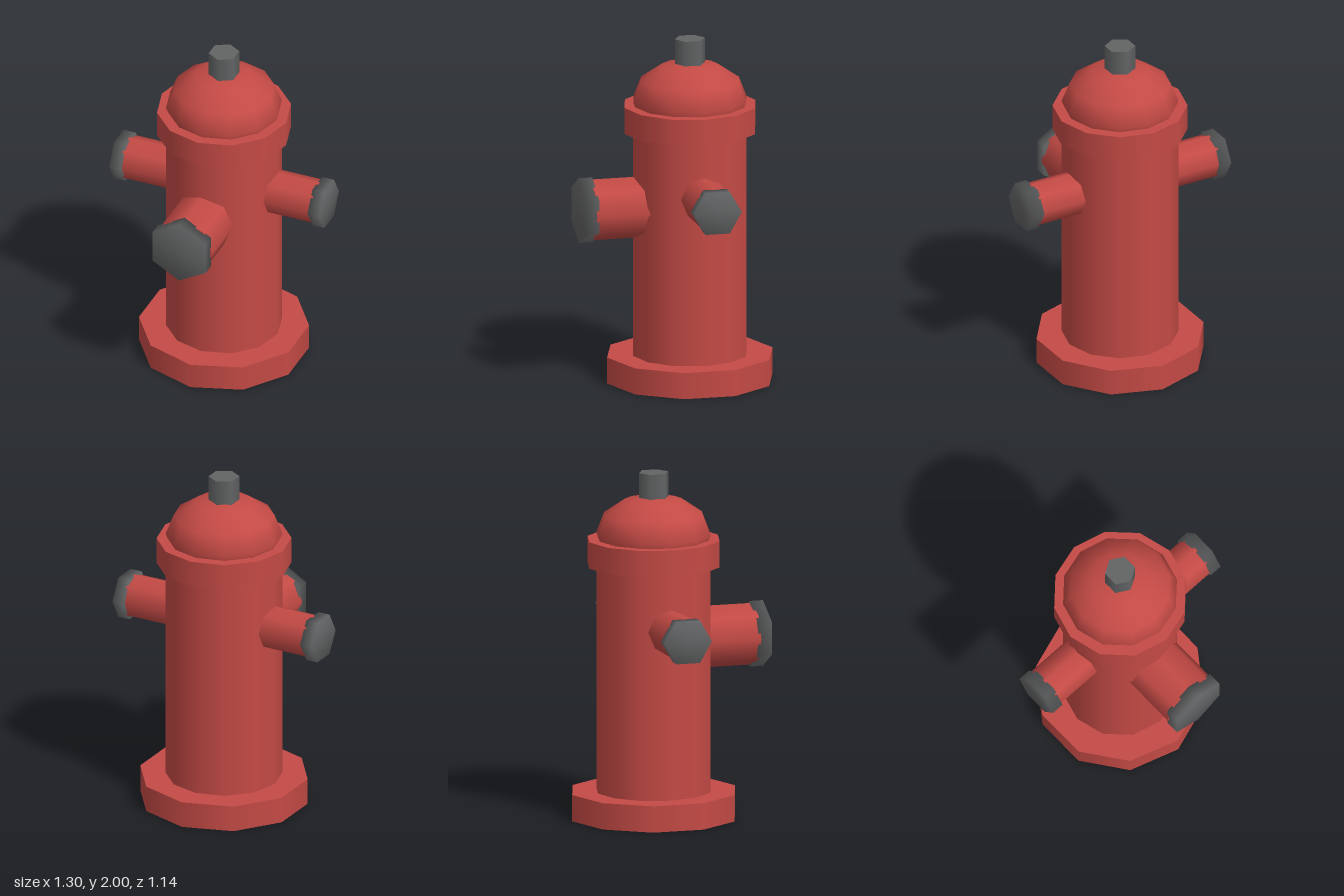
import * as THREE from 'three';

const AXIS_Z = -0.083; // centre line of the barrel

export function createModel() {
  const red = new THREE.MeshStandardMaterial({ color: 0xc44a45, side: THREE.DoubleSide });
  red.name = 'red paint';
  const grey = new THREE.MeshStandardMaterial({ color: 0x626364 });
  grey.name = 'dark iron';

  const model = new THREE.Group();
  model.name = 'hydrant';

  const add = (parent, name, geometry, material) => {
    const mesh = new THREE.Mesh(geometry, material);
    mesh.name = name;
    parent.add(mesh);
    return mesh;
  };

  // Upright prism on the centre line, between two heights
  const upright = (name, radius, y0, y1, sides, material, open = false) => {
    const geometry = new THREE.CylinderGeometry(radius, radius, y1 - y0, sides, 1, open);
    add(model, name, geometry, material).position.set(0, (y0 + y1) / 2, AXIS_Z);
  };

  // Hollow base: a wall and a top plate, open underneath
  const baseTop = 0.153;
  upright('baseWall', 0.487, 0, baseTop, 10, red, true);
  const plate = add(model, 'basePlate', new THREE.CircleGeometry(0.487, 10, Math.PI / 2), red);
  plate.rotation.x = -Math.PI / 2;
  plate.position.set(0, baseTop, AXIS_Z);

  upright('barrel', 0.333, baseTop, 1.5, 12, red, true);
  upright('collar', 0.385, 1.462, 1.615, 12, red);
  upright('topNut', 0.088, 1.8, 2, 6, grey);

  // Squashed dome, its lower half hidden in the collar
  const dome = add(model, 'dome', new THREE.SphereGeometry(0.333, 12, 6), red);
  dome.scale.y = 0.228 / 0.333;
  dome.position.set(0, 1.643, AXIS_Z);

  // Hexagonal cap with normals blended over its rim
  const capGeometry = (radius, y0, y1) => new THREE.LatheGeometry([
    new THREE.Vector2(0, y0),
    new THREE.Vector2(radius, y0),
    new THREE.Vector2(radius, y1),
    new THREE.Vector2(0, y1),
  ], 6);

  // Outlet built along +y from the centre line, then turned outwards
  const outlet = (name, y, tubeR, tubeEnd, capR, capStart, capEnd) => {
    const group = new THREE.Group();
    group.name = name;
    const start = 0.2;
    const tube = add(group, 'pipe', new THREE.CylinderGeometry(tubeR, tubeR, tubeEnd - start, 8), red);
    tube.position.y = (start + tubeEnd) / 2;
    add(group, 'cap', capGeometry(capR, capStart, capEnd), grey);
    group.position.set(0, y, AXIS_Z);
    model.add(group);
    return group;
  };

  for (const side of [1, -1]) {
    const name = side > 0 ? 'leftOutlet' : 'rightOutlet';
    outlet(name, 1.13, 0.128, 0.59, 0.141, 0.578, 0.652).rotation.z = -side * Math.PI / 2;
  }
  outlet('frontOutlet', 1.027, 0.179, 0.589, 0.191, 0.574, 0.655).rotation.x = Math.PI / 2;

  return model;
}
